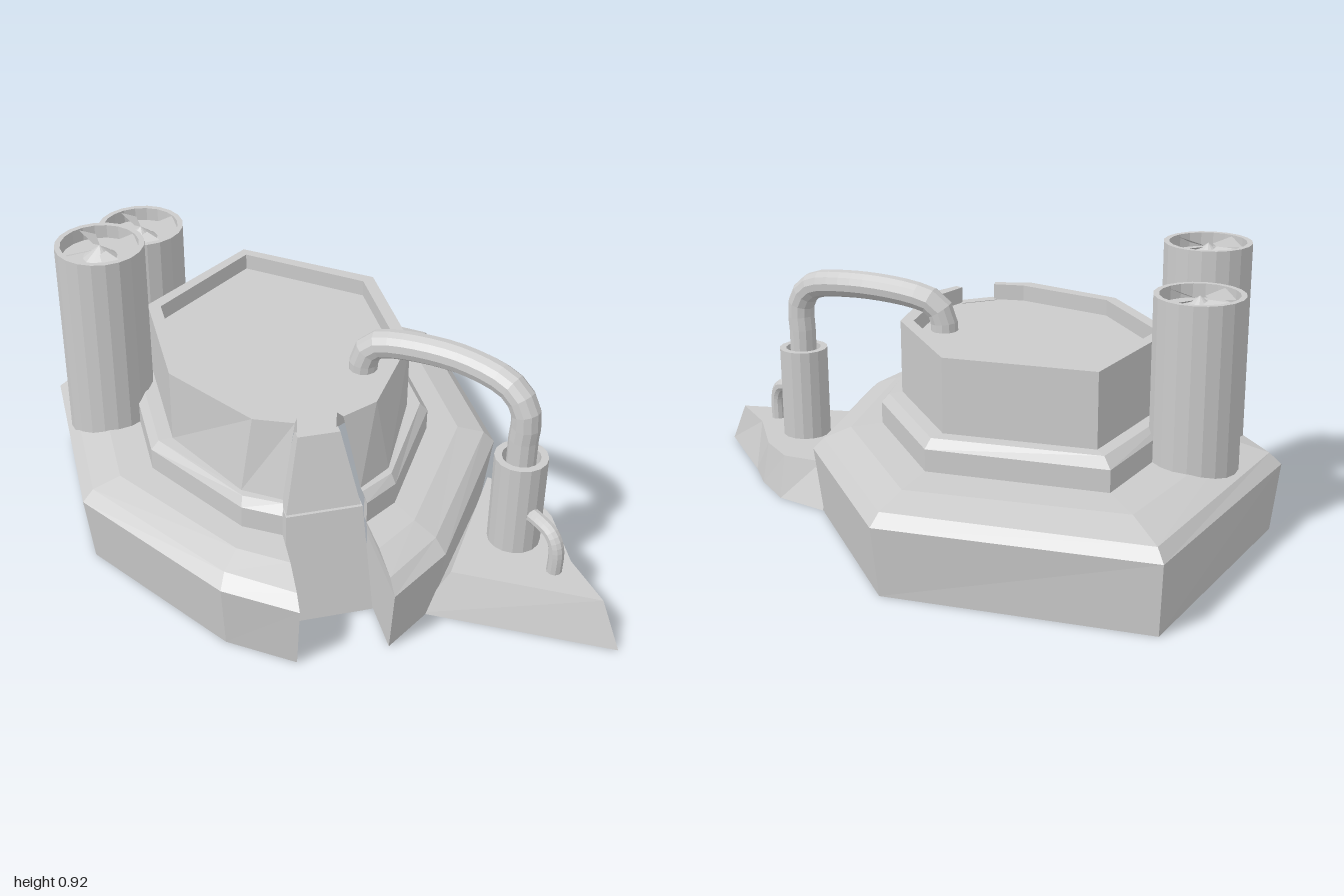
import * as THREE from 'three';

const mat = new THREE.MeshStandardMaterial({ color: 0xcccccc, flatShading: true, side: THREE.DoubleSide });

function mesh(geometry, name) {
  const m = new THREE.Mesh(geometry, mat);
  m.name = name;
  return m;
}

// Skins a stack of equal-length sections ([x, y, z] points running front -> +x -> back -> -x).
function loft(sections, { closed = true, top = false, bottom = false } = {}) {
  const n = sections[0].length;
  const pos = [];
  const tri = (...pts) => pts.forEach((p) => pos.push(...p));
  const steps = closed ? n : n - 1;
  for (let i = 0; i < sections.length - 1; i++) {
    for (let j = 0; j < steps; j++) {
      const k = (j + 1) % n;
      const [a, b, c, d] = [sections[i][j], sections[i][k], sections[i + 1][k], sections[i + 1][j]];
      tri(a, b, c);
      tri(a, c, d);
    }
  }
  const cap = (s, up) => {
    const mid = [0, 1, 2].map((q) => s.reduce((t, p) => t + p[q], 0) / n);
    for (let j = 0; j < n; j++) {
      const a = s[j], b = s[(j + 1) % n];
      if (up) tri(a, b, mid); else tri(b, a, mid);
    }
  };
  if (top) cap(sections[sections.length - 1], true);
  if (bottom) cap(sections[0], false);
  const g = new THREE.BufferGeometry();
  g.setAttribute('position', new THREE.Float32BufferAttribute(pos, 3));
  g.computeVertexNormals();
  return g;
}

const CX = -0.06; // symmetry axis of the main building

// One tier ring: half outline (apex to entrance) mirrored, turned inward at the entrance.
function tierRing(y, half) {
  const [ex, ez] = half[half.length - 1];
  const side = [...half, [ex, Math.min(ez, 0.56)]];
  const right = side.map(([x, z]) => [CX + x, y, z]).reverse();
  const left = side.slice(1).map(([x, z]) => [CX - x, y, z]);
  return [...right, ...left];
}

function tube(points, radius, name, sides = 12) {
  const curve = new THREE.CatmullRomCurve3(points.map((p) => new THREE.Vector3(...p)), false, 'centripetal');
  return mesh(new THREE.TubeGeometry(curve, 20, radius, sides), name);
}

function coolingTower(x, z, height) {
  const tower = new THREE.Group();
  tower.name = 'coolingTower';
  const r = 0.142, inner = 0.124, deck = height - 0.045;
  const profile = [[0, 0.18], [r, 0.18], [r, height], [inner, height], [inner, deck], [0, deck]];
  tower.add(mesh(new THREE.LatheGeometry(profile.map((p) => new THREE.Vector2(...p)), 20), 'towerShell'));
  const hub = mesh(new THREE.ConeGeometry(0.055, 0.04, 12), 'fanHub');
  hub.position.y = deck + 0.02;
  tower.add(hub);
  // Four pitched blades, wider toward the rim
  const blade = new THREE.Shape([[0.03, -0.012], [0.122, -0.03], [0.122, 0.03], [0.03, 0.012]]
    .map((p) => new THREE.Vector2(...p)));
  for (let i = 0; i < 4; i++) {
    const arm = new THREE.Group();
    const b = mesh(new THREE.ShapeGeometry(blade), 'fanBlade');
    b.rotation.x = -Math.PI / 2 + 0.45;
    arm.add(b);
    arm.position.y = deck + 0.027;
    arm.rotation.y = i * Math.PI / 2 + 0.2;
    tower.add(arm);
  }
  tower.position.set(x, 0, z);
  return tower;
}

export function createModel() {
  const model = new THREE.Group();
  model.name = 'pumpingStation';

  // Stepped building: skirt, middle tier, upper tier, rim and sunken roof
  const tier2 = [[0, -0.645], [0.455, -0.29], [0.455, 0.17], [0.24, 0.52], [0.13, 0.59]];
  const rimInner = [[0, -0.51], [0.345, -0.235], [0.345, 0.15], [0.15, 0.43], [0.06, 0.485]];
  const rings = [
    [0, [[0, -0.985], [0.66, -0.465], [0.66, 0.19], [0.33, 0.685], [0.142, 0.82]]],
    [0.228, [[0, -1], [0.685, -0.475], [0.685, 0.2], [0.345, 0.71], [0.142, 0.855]]],
    [0.265, [[0, -0.96], [0.65, -0.455], [0.65, 0.19], [0.325, 0.67], [0.14, 0.81]]],
    [0.295, [[0, -0.8], [0.56, -0.39], [0.56, 0.18], [0.275, 0.61], [0.135, 0.71]]],
    [0.3, tier2],
    [0.372, tier2],
    [0.4, [[0, -0.6], [0.43, -0.275], [0.43, 0.165], [0.232, 0.5], [0.122, 0.565]]],
    [0.402, [[0, -0.55], [0.385, -0.255], [0.385, 0.165], [0.23, 0.475], [0.12, 0.55]]],
    [0.645, [[0, -0.55], [0.385, -0.255], [0.385, 0.165], [0.19, 0.46], [0.073, 0.51]]],
    [0.645, rimInner],
    [0.59, rimInner],
  ];
  model.add(mesh(loft(rings.map(([y, half]) => tierRing(y, half)), { closed: false, top: true }), 'steppedBuilding'));

  // Sloping entrance panels filling the gap at the front: [y, half width, front z, back z]
  const slab = (rows) => rows.map(([y, w, f, b]) =>
    [[CX - w, y, f], [CX + w, y, f], [CX + w, y, b], [CX - w, y, b]]);
  const caps = { top: true, bottom: true };
  model.add(mesh(loft(slab([[0, 0.14, 0.65, 0.52], [0.36, 0.118, 0.585, 0.5]]), caps), 'entranceRamp'));
  model.add(mesh(loft(slab([[0.36, 0.115, 0.575, 0.5], [0.592, 0.065, 0.51, 0.47]]), caps), 'upperEntrancePanel'));

  // Cooling towers
  model.add(coolingTower(-0.59, -0.21, 0.915));
  model.add(coolingTower(-0.425, -0.473, 0.825));

  // Outlying pump: sloped plinth, hollow cylinder, feed pipes
  const pump = new THREE.Group();
  pump.name = 'pump';
  const flat = (y, pts) => pts.map(([x, z]) => [x, y, z]);
  pump.add(mesh(loft([
    flat(0, [[0.745, 1], [0.73, 0.65], [0.735, 0.52], [0.71, 0.36], [0.6, 0.2], [0.21, 0.7]]),
    flat(0.145, [[0.71, 0.93], [0.685, 0.74], [0.71, 0.52], [0.685, 0.38], [0.58, 0.28], [0.31, 0.7]]),
  ], { top: true }), 'plinth'));
  const housing = [[0, 0.12], [0.083, 0.12], [0.083, 0.46], [0.06, 0.46], [0.06, 0.4], [0, 0.4]];
  const cylinder = mesh(new THREE.LatheGeometry(housing.map((p) => new THREE.Vector2(...p)), 16), 'pumpHousing');
  cylinder.position.set(0.555, 0, 0.585);
  pump.add(cylinder);
  pump.add(tube([[0.555, 0.39, 0.585], [0.555, 0.52, 0.585], [0.555, 0.62, 0.585], [0.525, 0.685, 0.545],
    [0.42, 0.716, 0.415], [0.26, 0.705, 0.265], [0.195, 0.68, 0.21], [0.17, 0.64, 0.195], [0.165, 0.57, 0.19]],
  0.046, 'mainPipe'));
  pump.add(tube([[0.565, 0.28, 0.62], [0.587, 0.284, 0.69], [0.607, 0.272, 0.74], [0.617, 0.235, 0.765],
    [0.618, 0.12, 0.767]], 0.024, 'smallPipe', 10));
  model.add(pump);

  return model;
}
